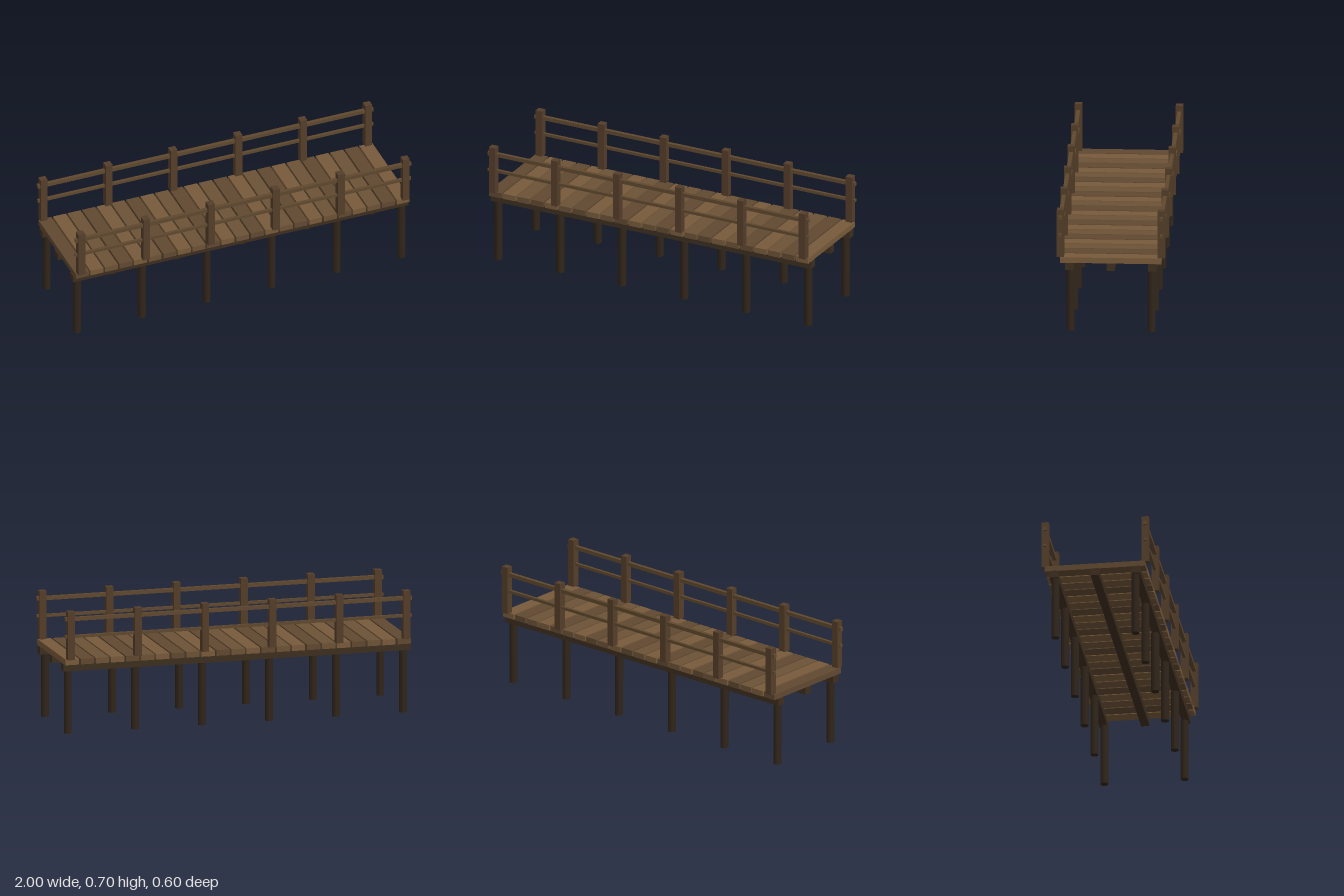
import * as THREE from 'three';

const material = (color) => new THREE.MeshStandardMaterial({ color });

export function createModel() {
  const pier = new THREE.Group();
  pier.name = 'pier';

  const plankWood = [0x604830, 0x775a3a, 0x6c5236].map(material);
  const postWood = material(0x543d29);
  const railWood = material(0x5f482e);
  const beamWood = material(0x3d2e1f);
  const pileWood = material(0x30251a);

  const add = (name, geometry, mat, x, y, z) => {
    const mesh = new THREE.Mesh(geometry, mat);
    mesh.name = name;
    mesh.position.set(x, y, z);
    pier.add(mesh);
  };

  // Deck planks laid across the walkway with narrow gaps
  const plankCount = 23;
  const pitch = 2 / plankCount;
  const plank = new THREE.BoxGeometry(0.077, 0.032, 0.56);
  for (let i = 0; i < plankCount; i++) {
    add('plank', plank, plankWood[i % 3], -1 + pitch * (i + 0.5), 0.412, 0);
  }

  // Three long beams under the deck
  const beam = new THREE.BoxGeometry(2, 0.041, 0.046);
  for (const z of [-0.23, 0, 0.23]) add('beam', beam, beamWood, 0, 0.3755, z);

  // Round piles and square railing posts in six pairs, rails along both sides
  const pile = new THREE.CylinderGeometry(0.0225, 0.0225, 0.356, 12);
  const post = new THREE.BoxGeometry(0.04, 0.273, 0.04);
  const topRail = new THREE.BoxGeometry(2, 0.021, 0.021);
  const lowerRail = new THREE.BoxGeometry(2, 0.016, 0.016);
  for (const side of [-1, 1]) {
    for (let i = 0; i < 6; i++) {
      const x = -0.967 + i * 0.3868;
      add('pile', pile, pileWood, x, 0.178, side * 0.2245);
      add('railingPost', post, postWood, x, 0.5645, side * 0.28);
    }
    add('topRail', topRail, railWood, 0, 0.657, side * 0.28);
    add('lowerRail', lowerRail, railWood, 0, 0.558, side * 0.28);
  }

  return pier;
}
